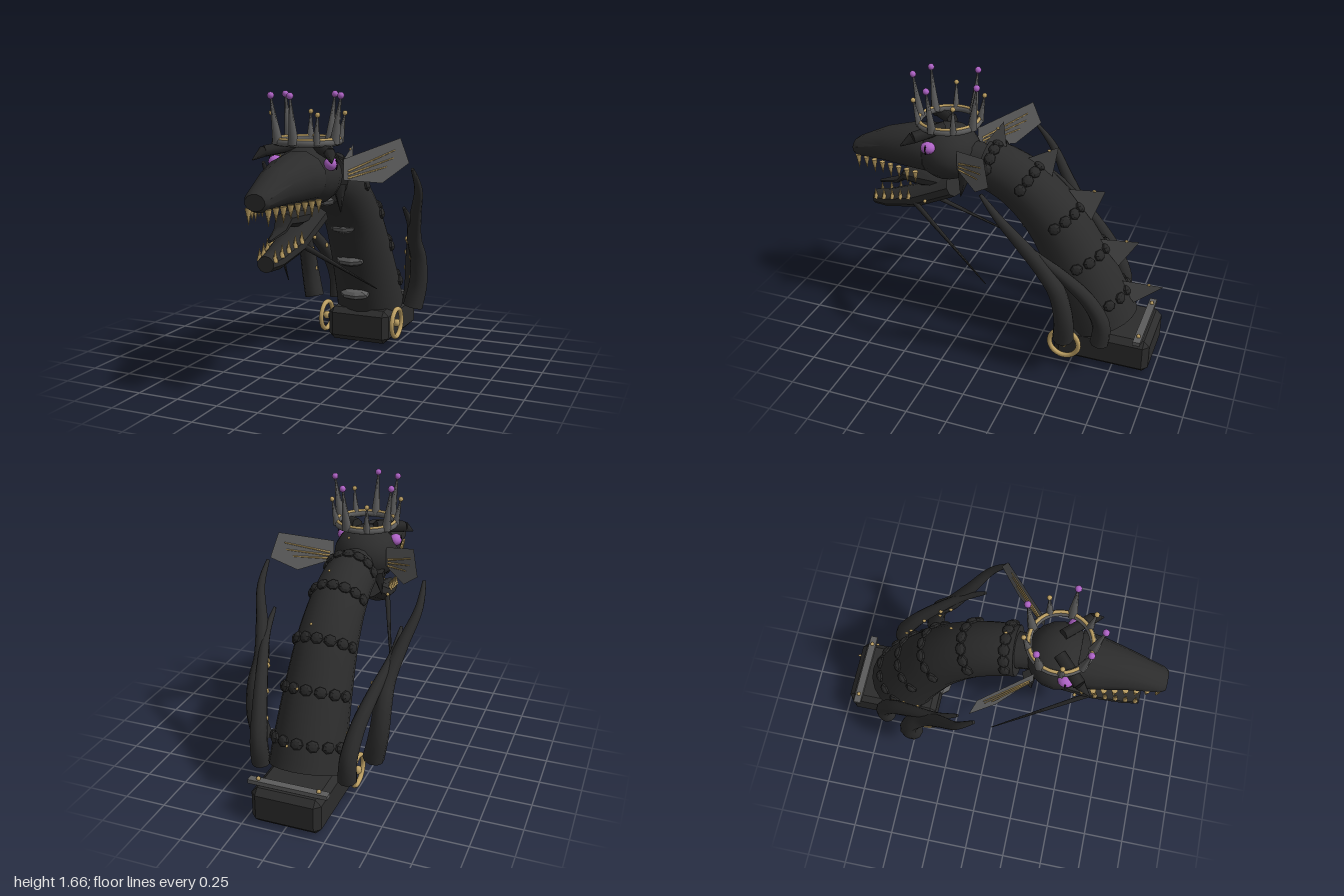
import * as THREE from 'three';
import { toCreasedNormals } from 'three/addons/utils/BufferGeometryUtils.js';
import { ConvexGeometry } from 'three/addons/geometries/ConvexGeometry.js';

const V = (x, y, z) => new THREE.Vector3(x, y, z);
const material = (name, color, extra = {}) =>
  Object.assign(new THREE.MeshStandardMaterial({ color, ...extra }), { name });

export function createModel() {
  const hide = material('charcoal hide', 0x2c2c2c);
  const scaleMat = material('dark scale', 0x272727);
  const grey = material('grey plate', 0x5c5c5c);
  const fin = material('grey fin', 0x626262, { side: THREE.DoubleSide });
  const gold = material('gold', 0xbda063);
  const purple = material('purple gem', 0xae62c6);
  const black = material('black pupil', 0x101010);

  const root = new THREE.Group();
  root.name = 'crownedDragon';
  const add = (name, geo, mat, pos, parent = root) => {
    const m = new THREE.Mesh(geo, mat);
    m.name = name;
    if (pos) m.position.copy(pos);
    parent.add(m);
    return m;
  };
  // tapered rod from a to b
  const rod = (name, a, b, r0, r1, mat, sides = 6, parent = root) => {
    const d = b.clone().sub(a);
    const m = add(name, new THREE.CylinderGeometry(r1, r0, d.length(), sides), mat, a.clone().lerp(b, 0.5), parent);
    m.quaternion.setFromUnitVectors(V(0, 1, 0), d.normalize());
    return m;
  };
  const ball = (name, pos, rx, ry, rz, mat, parent = root, w = 12, h = 8) => {
    const m = add(name, new THREE.SphereGeometry(1, w, h), mat, pos, parent);
    m.scale.set(rx, ry, rz);
    return m;
  };
  // tube with a radius rule and flat ends
  const taperTube = (curve, radius, segs, sides) => {
    const g = new THREE.TubeGeometry(curve, segs, 1, sides);
    const p = g.attributes.position;
    for (let j = 0; j <= segs; j++) {
      const c = curve.getPointAt(j / segs);
      const end = j === 0 ? curve.getPointAt(1 / segs) : j === segs ? curve.getPointAt(1 - 1 / segs) : null;
      for (let i = 0; i <= sides; i++) {
        const k = j * (sides + 1) + i;
        const v = V().fromBufferAttribute(p, k).sub(c).multiplyScalar(radius(j / segs)).add(c);
        if (end) v.copy(end);
        p.setXYZ(k, v.x, v.y, v.z);
      }
    }
    return toCreasedNormals(g, 0.7);
  };
  // elliptical loft; section = [z, y, rx, ry, shear]
  const loft = (sections, n) => {
    const first = sections[0], last = sections[sections.length - 1];
    const all = [[first[0], first[1], 0, 0, 0], ...sections, [last[0], last[1], 0, 0, 0]];
    const pos = [], idx = [];
    all.forEach(([z, y, rx, ry, sh = 0], j) => {
      for (let i = 0; i < n; i++) {
        const a = (i + 0.5) / n * Math.PI * 2, dy = Math.sin(a) * ry;
        pos.push(Math.cos(a) * rx, y + dy, z + sh * dy);
        if (j < all.length - 1) {
          const A = j * n + i, B = j * n + (i + 1) % n;
          idx.push(A, B, B + n, A, B + n, A + n);
        }
      }
    });
    const g = new THREE.BufferGeometry();
    g.setAttribute('position', new THREE.Float32BufferAttribute(pos, 3));
    g.setIndex(idx);
    return toCreasedNormals(g, 0.6);
  };

  // chamfered base block
  const corners = [], h = [0.21, 0.11, 0.295], c = 0.035;
  for (const x of [-1, 1]) for (const y of [-1, 1]) for (const z of [-1, 1])
    for (let k = 0; k < 3; k++)
      corners.push(V(...[x, y, z].map((s, i) => s * (h[i] - (i === k ? 0 : c)))));
  add('base', new ConvexGeometry(corners), hide, V(0, 0.11, -0.675));
  add('rearBar', new THREE.BoxGeometry(0.48, 0.025, 0.045), grey, V(0, 0.237, -0.9));

  // neck
  const neckCurve = new THREE.CatmullRomCurve3([V(0, 0.17, -0.65), V(0, 0.42, -0.545), V(0, 0.65, -0.43),
    V(0, 0.86, -0.3), V(0, 1.03, -0.13), V(0, 1.12, 0.04), V(0, 1.15, 0.18)]);
  const neckR = u => 0.228 - 0.08 * u;
  add('neck', taperTube(neckCurve, neckR, 28, 20), hide);
  rod('neckJoint', V(0, 1.15, 0.12), V(0, 1.18, 0.3), 0.11, 0.1, hide, 12);

  // rows of scales over the back of the neck
  const scaleGeo = toCreasedNormals(new THREE.SphereGeometry(1, 7, 5), 0.3);
  for (const u of [0.15, 0.36, 0.56, 0.77, 0.93]) {
    const P = neckCurve.getPointAt(u), T = neckCurve.getTangentAt(u);
    const N = V(0, T.z, -T.y);
    for (let i = -3; i <= 3; i++) {
      const a = i * 0.42;
      const out = N.clone().multiplyScalar(Math.cos(a)).add(V(Math.sin(a), 0, 0));
      const m = add('neckScale', scaleGeo, scaleMat, P.clone().addScaledVector(out, neckR(u)));
      m.quaternion.setFromRotationMatrix(new THREE.Matrix4().makeBasis(V().crossVectors(out, T), out, T));
      m.scale.set(0.04, 0.024, 0.036);
    }
  }
  // belly plates
  for (const [z, y, w] of [[-0.345, 0.335, 0.105], [-0.27, 0.575, 0.1], [-0.15, 0.81, 0.09], [0.13, 1.02, 0.08]]) {
    const m = add('bellyPlate', scaleGeo, grey, V(0, y, z));
    m.scale.set(w, 0.034, 0.055);
    m.rotation.x = 0.25;
  }
  // one-faced spine fins: [z, y] front root, tip, back root
  const spines = [[[0.14, 1.27], [0.02, 1.43], [0, 1.24]], [[-0.13, 1.22], [-0.315, 1.32], [-0.28, 1.12]],
    [[-0.38, 1.06], [-0.605, 1.085], [-0.53, 0.88]], [[-0.57, 0.76], [-0.825, 0.79], [-0.71, 0.6]],
    [[-0.7, 0.5], [-0.99, 0.51], [-0.82, 0.36]]];
  for (const s of spines) {
    const g = new THREE.ShapeGeometry(new THREE.Shape(s.map(([z, y]) => new THREE.Vector2(-z, y))));
    add('spineFin', g.rotateY(Math.PI / 2), grey);
    const mid = V(0, s[0][1] * 0.3 + s[1][1] * 0.7, s[0][0] * 0.3 + s[1][0] * 0.7);
    ball('spineBead', mid, 0.008, 0.008, 0.012, gold, root, 6, 4);
  }

  // head
  ball('skull', V(0, 1.19, 0.37), 0.2, 0.172, 0.195, hide, root, 16, 10);
  add('snout', loft([[0.48, 1.195, 0.17, 0.15], [0.6, 1.19, 0.155, 0.14], [0.78, 1.17, 0.115, 0.11],
    [0.97, 1.125, 0.078, 0.062], [1.0, 1.12, 0.06, 0.045]], 12), hide);
  add('lowerJaw', loft([[0.34, 0.965, 0.115, 0.062, 0.5], [0.6, 0.838, 0.095, 0.066, 0.3],
    [0.8, 0.785, 0.068, 0.055], [0.89, 0.778, 0.05, 0.045]], 10), hide);
  add('tongue', loft([[0.4, 0.97, 0.06, 0.03], [0.55, 0.975, 0.07, 0.05], [0.67, 0.98, 0.055, 0.04],
    [0.72, 0.93, 0.04, 0.02], [0.85, 0.895, 0.01, 0.01]], 8), scaleMat);

  // crown
  const crown = new THREE.Group();
  crown.name = 'crown';
  crown.position.set(0, 1.385, 0.365);
  root.add(crown);
  const ring = (name, r, t, y, mat) =>
    add(name, new THREE.TorusGeometry(r, t, 8, 36).rotateX(Math.PI / 2), mat, V(0, y, 0), crown);
  ring('crownBand', 0.18, 0.02, 0, grey);
  ring('crownTrim', 0.18, 0.01, 0.018, gold);
  for (let k = 0; k < 9; k++) {
    const a = -k * Math.PI * 2 / 9, tall = k === 0 || k % 2 === 1;
    const at = (r, y) => V(Math.sin(a) * r, y, Math.cos(a) * r);
    const tip = tall ? at(0.223, 0.26) : at(0.212, 0.158);
    rod('crownSpike', at(0.182, -0.005), tip, tall ? 0.03 : 0.024, 0.004, grey, 6, crown);
    const r = tall ? 0.02 : 0.015;
    ball(tall ? 'crownGem' : 'crownBead', tip, r, r, r, tall ? purple : gold, crown, 10, 7);
  }

  // parts that come in pairs
  const side = new THREE.Group();
  side.name = 'leftSide';
  ball('eye', V(0.172, 1.27, 0.43), 0.04, 0.037, 0.046, purple, side);
  ball('pupil', V(0.206, 1.27, 0.432), 0.007, 0.033, 0.006, black, side, 8, 6);
  rod('brow', V(0.06, 1.365, 0.37), V(0.2, 1.335, 0.51), 0.035, 0.035, scaleMat, 6, side);
  rod('browTip', V(0.2, 1.335, 0.51), V(0.24, 1.29, 0.575), 0.035, 0.004, scaleMat, 6, side);
  rod('cheekSpike', V(0.13, 1.13, 0.22), V(0.15, 0.97, 0.24), 0.045, 0.002, scaleMat, 5, side);
  rod('whisker', V(0.07, 0.84, 0.6), V(0.295, 0.485, 0.03), 0.018, 0.003, scaleMat, 6, side);

  // ear fin, swept back at an angle, with gold ribs
  const sweep = x => 0.24 - (x - 0.18) * 1.07;
  const earGeo = new THREE.ShapeGeometry(new THREE.Shape(
    [[0.17, 1.16], [0.34, 1.13], [0.46, 1.24], [0.42, 1.39], [0.17, 1.28]].map(p => new THREE.Vector2(...p))));
  const ep = earGeo.attributes.position;
  for (let i = 0; i < ep.count; i++) ep.setZ(i, sweep(ep.getX(i)));
  earGeo.computeVertexNormals();
  add('earFin', earGeo, fin, null, side);
  for (const [x0, y0, x1, y1] of [[0.19, 1.21, 0.395, 1.32], [0.19, 1.19, 0.39, 1.275], [0.19, 1.17, 0.36, 1.225]])
    rod('earRib', V(x0, y0, sweep(x0)), V(x1, y1, sweep(x1)), 0.007, 0.004, gold, 5, side);

  // teeth
  for (let i = 0; i < 8; i++) {
    const z = 0.535 + i * 0.061, x = 0.145 - i * 0.0125;
    rod('upperTooth', V(x, 1.085, z), V(x, i % 2 ? 0.995 : 1.01, z), 0.019, 0.001, gold, 6, side);
  }
  for (let i = 0; i < 5; i++) {
    const z = 0.62 + i * 0.062, x = 0.082 - i * 0.009, y = 0.86 - i * 0.015;
    rod('lowerTooth', V(x, y - 0.01, z), V(x, y + 0.06, z), 0.016, 0.001, gold, 6, side);
  }
  ball('jawStud', V(0.105, 0.865, 0.5), 0.012, 0.012, 0.012, gold, side, 6, 4);

  // tentacles with gold suckers on the inner side
  const tentacle = (name, pts, r0, tips) => {
    const curve = new THREE.CatmullRomCurve3(pts.map(p => V(...p)));
    add(name, taperTube(curve, u => r0 * (1 - 0.25 * u) * Math.sqrt(Math.max(0.003, 1 - Math.pow(u, 1.3))), 30, 10), hide, null, side);
    for (const u of tips) {
      const p = curve.getPointAt(u);
      ball('sucker', p.add(V(-r0 * 0.85 * Math.sqrt(1 - u), 0, 0.01)), 0.014, 0.018, 0.014, gold, side, 6, 4);
    }
  };
  tentacle('outerTentacle', [[0.345, 0.22, -0.48], [0.385, 0.42, -0.49], [0.395, 0.6, -0.45], [0.395, 0.72, -0.37],
    [0.44, 0.9, -0.25], [0.495, 1.08, -0.13], [0.49, 1.24, 0]], 0.065, [0.2, 0.32, 0.44]);
  tentacle('innerTentacle', [[0.265, 0.18, -0.68], [0.275, 0.35, -0.69], [0.3, 0.52, -0.61], [0.345, 0.68, -0.47],
    [0.395, 0.84, -0.29], [0.4, 0.98, -0.12]], 0.058, [0.3, 0.45, 0.6]);

  // ring handle and stud
  add('sideRing', new THREE.TorusGeometry(0.092, 0.016, 8, 28).rotateY(Math.PI / 2), gold, V(0.25, 0.14, -0.46), side);
  rod('ringAxle', V(0.18, 0.14, -0.46), V(0.25, 0.14, -0.46), 0.016, 0.016, grey, 8, side);
  ball('ringHub', V(0.25, 0.14, -0.46), 0.025, 0.027, 0.027, gold, side, 8, 6);
  ball('barStud', V(0.182, 0.255, -0.9), 0.013, 0.013, 0.013, gold, side, 8, 6);
  root.add(side);
  const mirror = side.clone();
  mirror.name = 'rightSide';
  mirror.scale.x = -1;
  root.add(mirror);
  return root;
}
